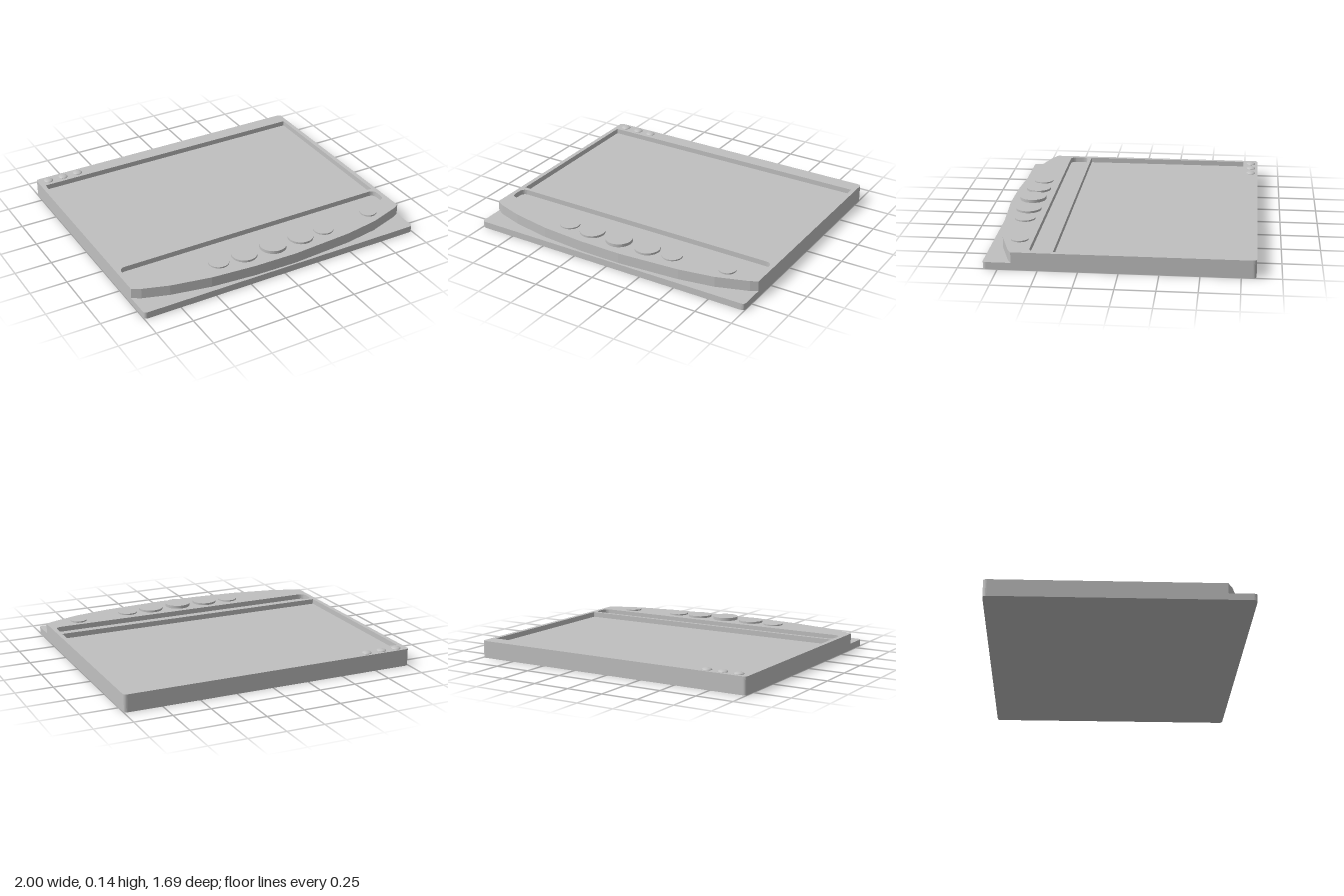
import * as THREE from 'three';

const BASE_TOP = 0.045, FLOOR = 0.08, TOP = 0.115;

// Rounded rectangle in plan; plan y is -z.
function roundedRect(x0, x1, z0, z1, r, Type = THREE.Shape) {
  const s = new Type(), a = -z1, b = -z0;
  s.moveTo(x0 + r, a);
  s.lineTo(x1 - r, a);
  s.quadraticCurveTo(x1, a, x1, a + r);
  s.lineTo(x1, b - r);
  s.quadraticCurveTo(x1, b, x1 - r, b);
  s.lineTo(x0 + r, b);
  s.quadraticCurveTo(x0, b, x0, b - r);
  s.lineTo(x0, a + r);
  s.quadraticCurveTo(x0, a, x0 + r, a);
  return s;
}

// Extrudes a plan shape upward from y0 to y1.
function slab(shape, y0, y1) {
  const g = new THREE.ExtrudeGeometry(shape, { depth: y1 - y0, bevelEnabled: false, curveSegments: 6 });
  return g.rotateX(-Math.PI / 2).translate(0, y0, 0);
}

export function createModel() {
  const model = new THREE.Group();
  const grey = new THREE.MeshStandardMaterial({ color: 0xc0c0c0 });
  grey.name = 'plain grey';
  const add = (name, geometry) => {
    const mesh = new THREE.Mesh(geometry, grey);
    mesh.name = name;
    model.add(mesh);
    return mesh;
  };

  // Base plate, showing as a ledge at the front
  add('basePlate', slab(roundedRect(-1, 1, -0.843, 0.843, 0.025), 0, BASE_TOP));

  // Upper panel with a bowed, faceted front edge
  const bow = [[-1, 0.663], [-0.945, 0.695], [-0.775, 0.75], [-0.51, 0.8], [-0.21, 0.825],
    [0.085, 0.83], [0.51, 0.8], [0.745, 0.76], [0.955, 0.69], [1, 0.665]];
  const panel = new THREE.Shape();
  panel.moveTo(bow[0][0], -bow[0][1]);
  bow.slice(1).forEach(([x, z]) => panel.lineTo(x, -z));
  panel.lineTo(1, 0.818);
  panel.quadraticCurveTo(1, 0.843, 0.975, 0.843);
  panel.lineTo(-0.975, 0.843);
  panel.quadraticCurveTo(-1, 0.843, -1, 0.818);
  panel.closePath();

  // Screen recess and tray groove, each with its own floor
  const recesses = [
    ['screen', -0.97, 0.97, -0.74, 0.405, 0.003],
    ['trayGroove', -0.97, 0.97, 0.43, 0.558, 0.045],
  ];
  for (const [name, ...size] of recesses) {
    panel.holes.push(roundedRect(...size, THREE.Path));
    add(name + 'Floor', slab(roundedRect(...size), BASE_TOP, FLOOR));
  }
  add('upperPanel', slab(panel, BASE_TOP, TOP));

  // Round buttons: x, z, radius, top height
  const buttons = [
    [-0.393, 0.677, 0.067, 0.124], [-0.21, 0.683, 0.084, 0.129], [0, 0.688, 0.088, 0.136],
    [0.212, 0.683, 0.084, 0.129], [0.393, 0.677, 0.067, 0.124], [0.772, 0.646, 0.056, 0.124],
  ];
  for (const [x, z, r, top] of buttons) {
    const h = top - TOP + 0.01;
    add('button', new THREE.CylinderGeometry(r, r, h, 48)).position.set(x, top - h / 2, z);
  }

  // Low indicator domes at the back corner
  for (const x of [-0.926, -0.816, -0.706]) {
    const dome = add('indicatorDome',
      new THREE.SphereGeometry(0.032, 24, 8, 0, Math.PI * 2, 0, Math.PI / 2));
    dome.scale.y = 0.38;
    dome.position.set(x, TOP, -0.795);
  }
  return model;
}
